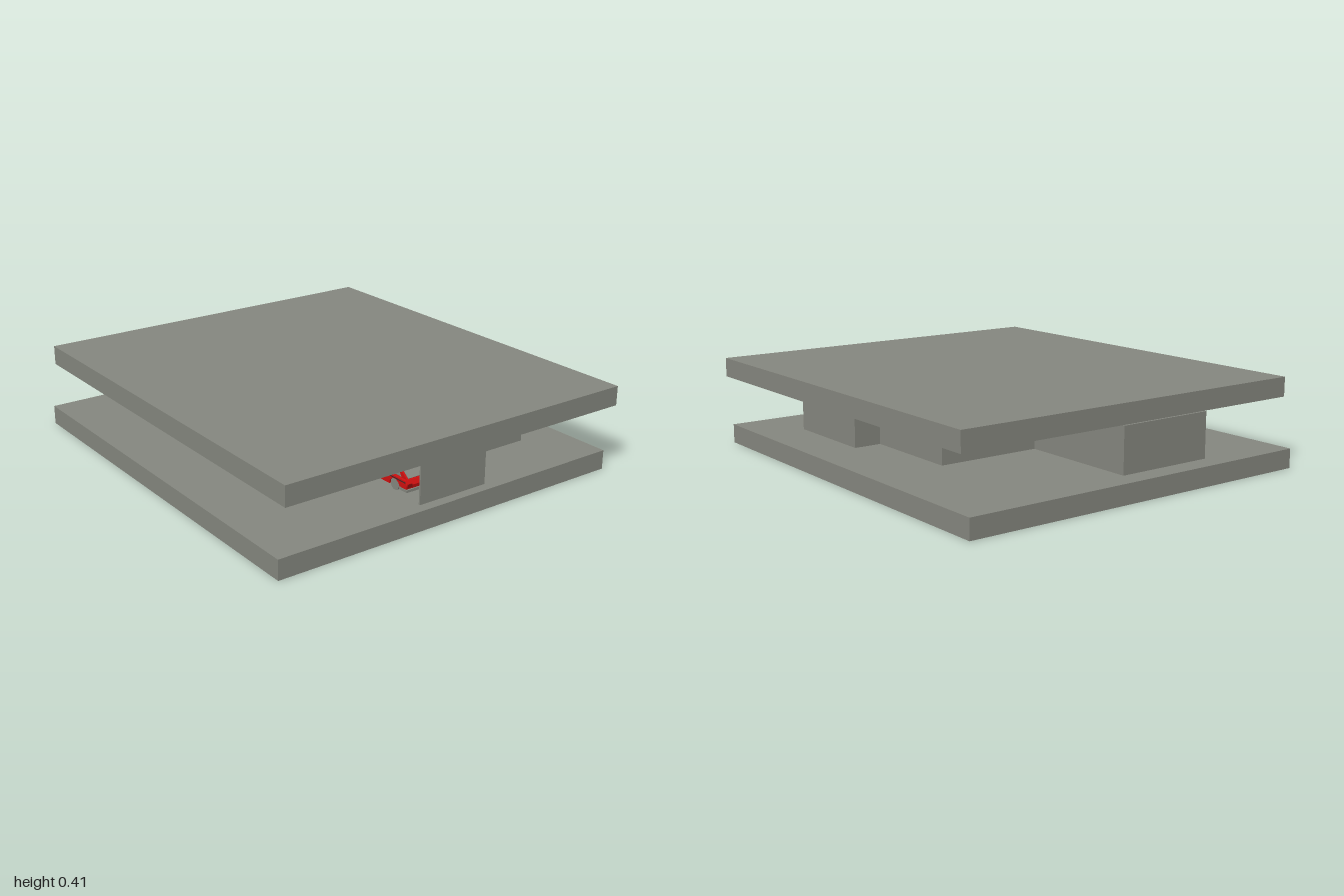
import * as THREE from 'three';

export function createModel() {
  const model = new THREE.Group();
  model.name = 'pavilionHouse';

  const mat = (name, color) => {
    const m = new THREE.MeshStandardMaterial({ color });
    m.name = name;
    return m;
  };
  const concrete = mat('concreteGrey', 0x85877f);
  const red = mat('carRed', 0xd01010);
  const darkRed = mat('darkRed', 0x8a0c0c);
  const trim = mat('darkTrim', 0x2c2c2c);

  const add = (parent, name, geometry, material) => {
    const mesh = new THREE.Mesh(geometry, material);
    mesh.name = name;
    parent.add(mesh);
    return mesh;
  };
  // Box given by its minimum and maximum on each axis
  const block = (parent, name, [x0, x1], [y0, y1], [z0, z1], material = concrete) => {
    const mesh = add(parent, name, new THREE.BoxGeometry(x1 - x0, y1 - y0, z1 - z0), material);
    mesh.position.set((x0 + x1) / 2, (y0 + y1) / 2, (z0 + z1) / 2);
    return mesh;
  };

  // Offset floor and roof slabs
  block(model, 'floorSlab', [-1, 0.955], [0, 0.09], [-0.88, 0.885]);
  block(model, 'roofSlab', [-0.955, 1], [0.32, 0.41], [-0.885, 0.88]);

  // Rooms and free-standing walls, stopping short of the roof
  const wallY = [0.09, 0.3];
  block(model, 'leftWing', [-0.9, -0.415], wallY, [-0.03, 0.445]);
  block(model, 'mainRoom', [-0.415, 0.405], wallY, [-0.03, 0.155]);
  block(model, 'middleRoom', [-0.316, 0.405], wallY, [-0.53, -0.03]);
  block(model, 'rearRoom', [0.178, 0.655], wallY, [-0.66, -0.2]);
  block(model, 'entranceScreen', [0.26, 0.29], wallY, [0.155, 0.445]);
  block(model, 'carportBackWall', [0.405, 0.908], wallY, [-0.2, -0.19]);
  block(model, 'carportEndWall', [0.9, 0.908], wallY, [-0.2, 0.155]);

  // Car parked in the carport, nose towards -x
  const car = new THREE.Group();
  car.name = 'car';
  car.position.set(0, 0.09, 0.07);
  model.add(car);

  const outline = (points) => new THREE.Shape(points.map(([x, y]) => new THREE.Vector2(x, y)));
  const extrude = (shape, width) =>
    new THREE.ExtrudeGeometry(shape, { depth: width, bevelEnabled: false, curveSegments: 8 })
      .translate(0, 0, -width / 2);
  const wheelX = [0.51, 0.73];

  // Lower body with wheel arches
  const side = new THREE.Shape();
  side.moveTo(0.435, 0.018);
  for (const x of wheelX) {
    side.lineTo(x - 0.034, 0.018);
    side.absarc(x, 0.018, 0.034, Math.PI, 0, true);
  }
  for (const [x, y] of [[0.805, 0.022], [0.81, 0.045], [0.797, 0.064], [0.57, 0.066], [0.45, 0.06], [0.435, 0.042]]) {
    side.lineTo(x, y);
  }
  add(car, 'carBody', extrude(side, 0.15), red);

  // Cabin, roof and window plates
  const cabin = [[0.55, 0.064], [0.797, 0.064], [0.745, 0.106], [0.725, 0.112], [0.62, 0.112], [0.6, 0.106]];
  add(car, 'carCabin', extrude(outline(cabin), 0.126), red);
  const windows = [
    [[0.572, 0.068], [0.648, 0.068], [0.656, 0.104], [0.608, 0.104]],
    [[0.66, 0.068], [0.76, 0.068], [0.733, 0.104], [0.668, 0.104]],
  ];
  windows.forEach((w) => add(car, 'sideWindows', extrude(outline(w), 0.13), concrete));

  // Windscreen and rear screen
  const screen = (name, [x0, y0], [x1, y1], outward) => {
    const mesh = add(car, name, new THREE.BoxGeometry(Math.hypot(x1 - x0, y1 - y0) * 0.85, 0.003, 0.108), concrete);
    const angle = Math.atan2(y1 - y0, x1 - x0);
    mesh.position.set((x0 + x1) / 2 + outward * 0.001, (y0 + y1) / 2 + 0.001, 0);
    mesh.rotation.z = angle;
  };
  screen('windscreen', [0.55, 0.064], [0.6, 0.106], -1);
  screen('rearScreen', [0.797, 0.064], [0.745, 0.106], 1);

  // Bumpers, lamps and waistline trim
  block(car, 'frontBumper', [0.43, 0.476], [0.014, 0.028], [-0.077, 0.077], concrete);
  block(car, 'rearBumper', [0.764, 0.813], [0.016, 0.028], [-0.077, 0.077], concrete);
  block(car, 'grille', [0.432, 0.437], [0.032, 0.042], [-0.04, 0.04], trim);
  for (const s of [-1, 1]) {
    block(car, 'headlamp', [0.432, 0.438], [0.031, 0.043], [s * 0.058 - 0.012, s * 0.058 + 0.012], concrete);
    block(car, 'rearLamp', [0.804, 0.811], [0.036, 0.05], [s * 0.058 - 0.012, s * 0.058 + 0.012], darkRed);
    block(car, 'waistTrim', [0.45, 0.8], [0.054, 0.058], [s * 0.075 - 0.001, s * 0.075 + 0.001], trim);
  }

  // Wheels
  for (const x of wheelX) {
    for (const z of [-0.06, 0.06]) {
      const wheel = add(car, 'wheel', new THREE.CylinderGeometry(0.027, 0.027, 0.026, 16), concrete);
      wheel.rotation.x = Math.PI / 2;
      wheel.position.set(x, 0.027, z);
    }
  }

  return model;
}
